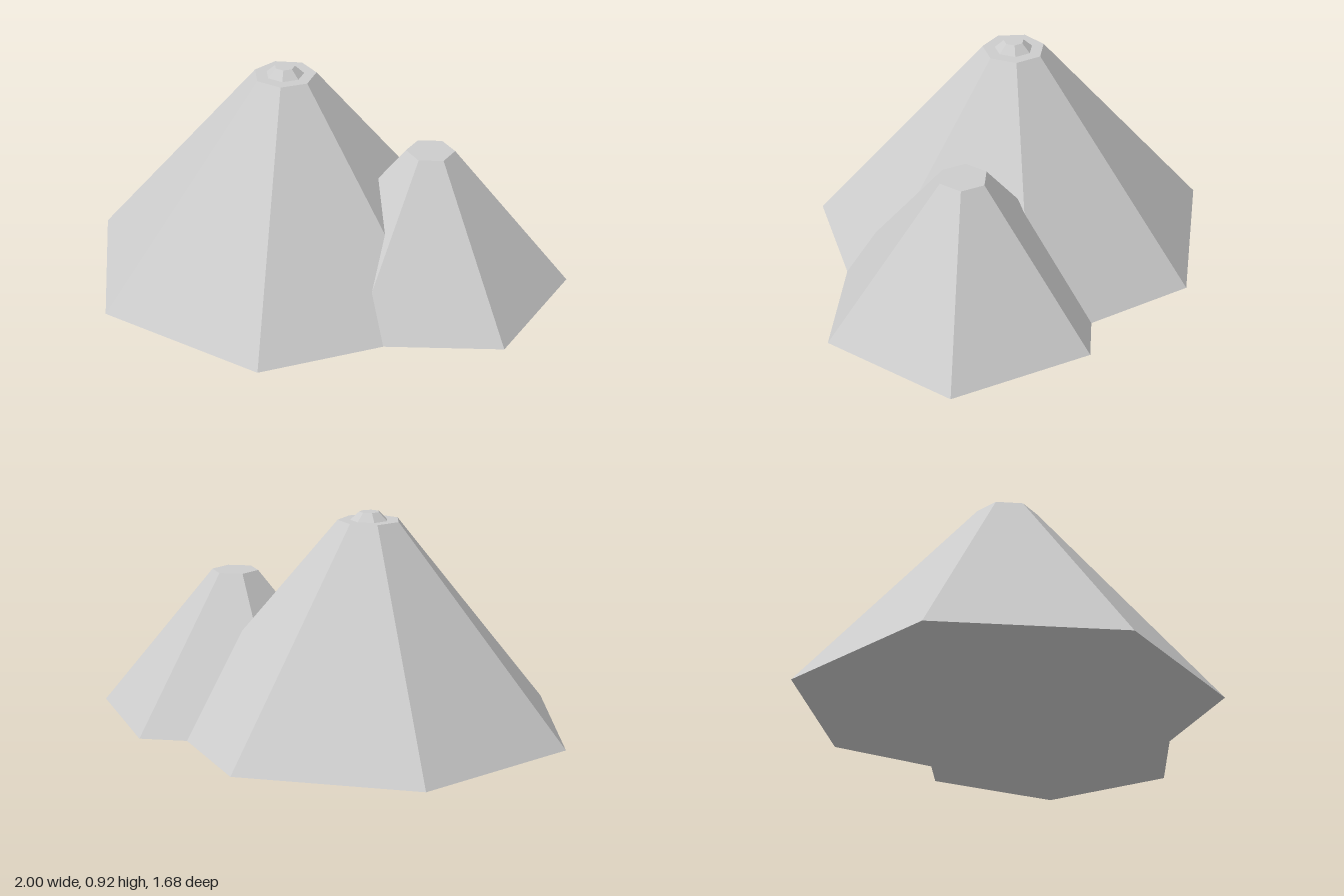
import * as THREE from 'three';

export function createModel() {
  const group = new THREE.Group();
  group.name = 'twinPeaks';
  const stone = new THREE.MeshStandardMaterial({ color: 0xcccccc, flatShading: true });
  stone.name = 'pale grey stone';

  // Tapered polygonal mound with one corner pointing to the back
  function frustum(name, sides, rTop, rBottom, y0, y1, x, z) {
    const geo = new THREE.CylinderGeometry(rTop, rBottom, y1 - y0, sides, 1, false, Math.PI);
    const mesh = new THREE.Mesh(geo, stone);
    mesh.name = name;
    mesh.position.set(x, (y0 + y1) / 2, z);
    group.add(mesh);
  }

  // Seven-sided main peak and its small cap
  frustum('mainPeak', 7, 0.133, 0.884, 0, 0.885, -0.138, 0.043);
  frustum('summitCap', 7, 0.043, 0.081, 0.885, 0.92, -0.138, 0.043);

  // Six-sided lower peak running into the main one
  frustum('sidePeak', 6, 0.102, 0.61, 0, 0.62, 0.471, -0.125);

  return group;
}
